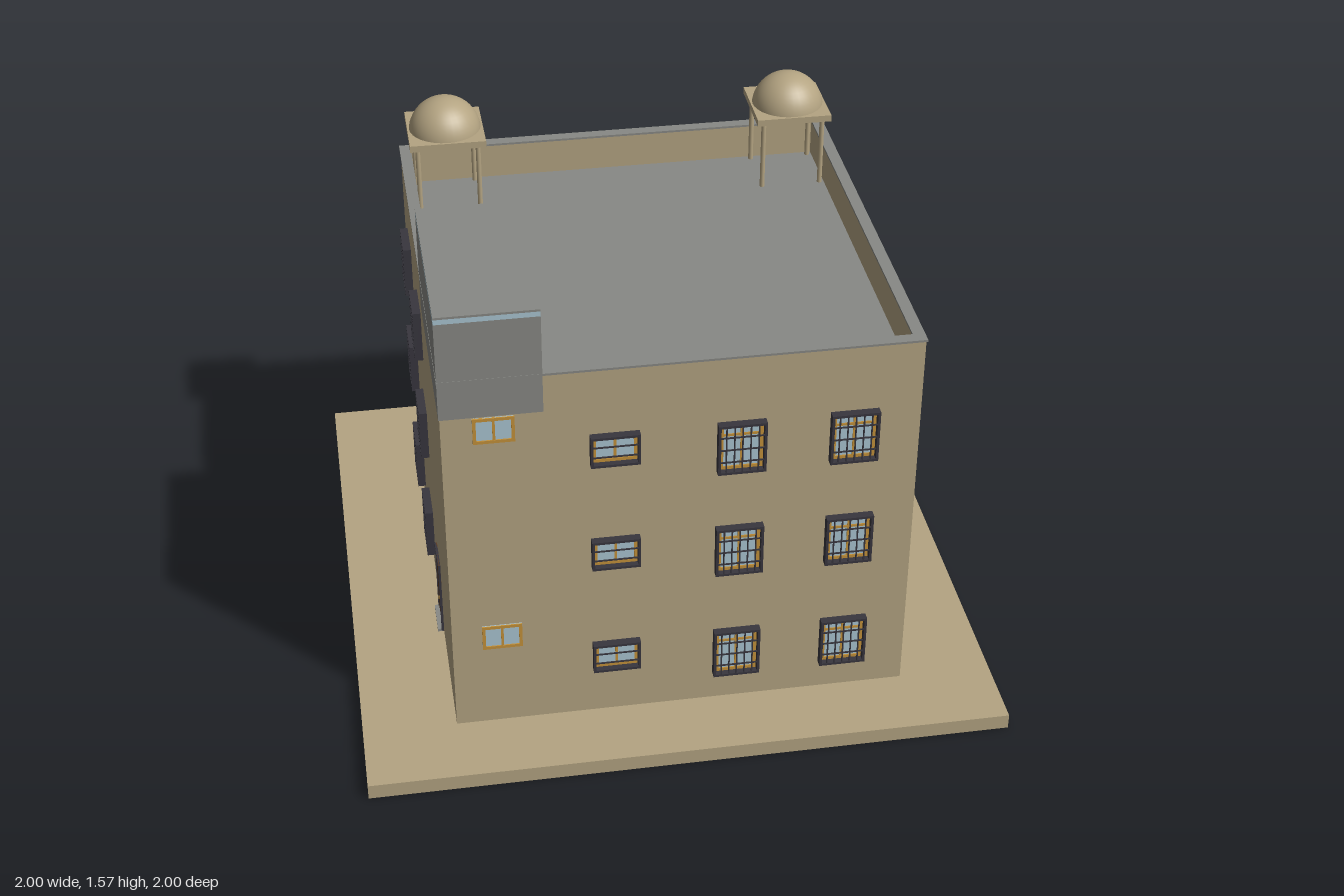
import * as THREE from 'three';

const mat = (name, color) => Object.assign(new THREE.MeshStandardMaterial({ color }), { name });
const M = {
  wall: mat('sandstone', 0xb4a482),
  grey: mat('concrete grey', 0x888985),
  iron: mat('dark iron', 0x38363e),
  frame: mat('ochre frame', 0xc4923a),
  glass: mat('pale glass', 0xaac6d2),
  door: mat('brown door', 0x5c3a24),
};

// Box given by its min and max corners
function box(parent, name, m, x0, x1, y0, y1, z0, z1) {
  const mesh = new THREE.Mesh(new THREE.BoxGeometry(x1 - x0, y1 - y0, z1 - z0), m);
  mesh.position.set((x0 + x1) / 2, (y0 + y1) / 2, (z0 + z1) / 2);
  mesh.name = name;
  parent.add(mesh);
  return mesh;
}

// Four boxes forming a rectangular border in the xy plane
function border(parent, name, m, w, h, t, z0, z1) {
  for (const s of [-1, 1]) {
    const x = s * (w - t) / 2, y = s * (h - t) / 2;
    box(parent, name, m, x - t / 2, x + t / 2, -h / 2, h / 2, z0, z1);
    box(parent, name, m, -w / 2 + t, w / 2 - t, y - t / 2, y + t / 2, z0, z1);
  }
}

// Window on a facade: glass, ochre frame and an optional iron cage
function addWindow(face, x, y, w, h, cage, upright) {
  const g = new THREE.Group();
  g.name = cage ? 'barredWindow' : 'plainWindow';
  g.position.set(x, y, 0);
  const m = cage ? 0.008 : 0;
  box(g, 'glass', M.glass, -w / 2 + m, w / 2 - m, -h / 2 + m, h / 2 - m, 0, 0.003);
  border(g, 'windowFrame', M.frame, w - 2 * m, h - 2 * m, 0.01, 0, 0.007);
  box(g, 'mullion', M.frame, -0.004, 0.004, -h / 2 + m, h / 2 - m, 0, 0.006);
  if (upright) box(g, 'transom', M.frame, -w / 2 + m, w / 2 - m, h * 0.22, h * 0.22 + 0.008, 0, 0.006);
  if (cage) {
    border(g, 'cageFrame', M.iron, w, h, 0.008, 0, 0.026);
    const columns = upright ? Math.round(w / 0.024) : 0;
    for (let i = 1; i < columns; i++) {
      const bx = -w / 2 + w * i / columns;
      box(g, 'cageBar', M.iron, bx - 0.002, bx + 0.002, -h / 2, h / 2, 0.021, 0.025);
    }
    const rows = upright ? 4 : 3;
    for (let i = 1; i < rows; i++) {
      const by = -h / 2 + h * i / rows;
      box(g, 'cageRail', M.iron, -w / 2, w / 2, by - 0.002, by + 0.002, 0.021, 0.025);
    }
  }
  face.add(g);
}

// Entrance door with frame, handle and step
function addDoor(face, x, w, leaves) {
  const g = new THREE.Group();
  g.name = 'entranceDoor';
  g.position.set(x, 0.185, 0);
  box(g, 'doorPanel', M.door, -w / 2, w / 2, -0.135, 0.135, 0, 0.005);
  border(g, 'doorFrame', M.iron, w, 0.27, 0.005, 0, 0.008);
  if (leaves === 2) box(g, 'doorGap', M.iron, -0.001, 0.001, -0.13, 0.13, 0, 0.006);
  const hx = leaves === 2 ? 0.012 : w / 2 - 0.02;
  box(g, 'doorHandle', M.frame, hx - 0.006, hx + 0.006, -0.012, -0.006, 0.005, 0.011);
  box(g, 'doorStep', M.grey, -w / 2, w / 2, -0.135, -0.125, 0, 0.02);
  face.add(g);
}

function addFacade(root, name, x, z, turn) {
  const face = new THREE.Group();
  face.name = name;
  face.position.set(x, 0, z);
  face.rotation.y = turn;
  root.add(face);
  return face;
}

// Domed water tank on a four-legged stand
function addTank(root, x, z) {
  const g = new THREE.Group();
  g.name = 'roofTank';
  g.position.set(x, 0, z);
  box(g, 'tankPlatform', M.wall, -0.122, 0.122, 1.445, 1.467, -0.122, 0.122);
  for (const sx of [-1, 1]) for (const sz of [-1, 1]) {
    const leg = new THREE.Mesh(new THREE.CylinderGeometry(0.008, 0.008, 0.245, 10), M.wall);
    leg.position.set(sx * 0.097, 1.3225, sz * 0.097);
    leg.name = 'tankLeg';
    g.add(leg);
  }
  const dome = new THREE.Mesh(new THREE.SphereGeometry(0.117, 32, 12, 0, Math.PI * 2, 0, Math.PI / 2), M.wall);
  dome.position.y = 1.452;
  dome.name = 'tankDome';
  g.add(dome);
  root.add(g);
}

export function createModel() {
  const root = new THREE.Group();
  root.name = 'building';
  const X = 0.708, ZB = -0.653, ZF = 0.765, T = 0.033;

  // Ground slab, main block and roof deck
  box(root, 'groundSlab', M.wall, -1, 1, 0, 0.05, -1, 1);
  box(root, 'mainBlock', M.wall, -X, X, 0.05, 1.2, ZB, ZF);
  box(root, 'roofDeck', M.grey, -X + T, X - T, 1.2, 1.21, ZB + T, ZF - T);

  // Parapet walls with a thin grey coping
  const ring = (name, m, y0, y1, o) => {
    for (const s of [-1, 1]) {
      const a = s * (X + o), b = s * (X - T);
      box(root, name, m, Math.min(a, b), Math.max(a, b), y0, y1, ZB - o, ZF + o);
    }
    box(root, name, m, -X + T, X - T, y0, y1, ZB - o, ZB + T);
    box(root, name, m, -X + T, X - T, y0, y1, ZF - T, ZF + o);
  };
  ring('parapet', M.wall, 1.2, 1.323, 0);
  ring('coping', M.grey, 1.323, 1.33, 0.004);

  // Stair house on the roof
  box(root, 'stairHouse', M.grey, -X - 0.003, -0.41, 1.2, 1.522, 0.152, ZF + 0.003);
  box(root, 'stairHouseBand', M.glass, -X - 0.003, -0.41, 1.522, 1.538, 0.152, ZF + 0.003);
  box(root, 'stairHouseTop', M.grey, -X - 0.003, -0.41, 1.538, 1.545, 0.152, ZF + 0.003);
  box(root, 'roofDoor', M.iron, -0.41, -0.405, 1.21, 1.465, 0.193, 0.316);

  addTank(root, 0.563, -0.508);
  addTank(root, -0.567, -0.508);

  // Facades: local x runs to the viewer's right, local z points outward
  const front = addFacade(root, 'frontFacade', 0, ZF, 0);
  const back = addFacade(root, 'backFacade', 0, ZB, Math.PI);
  const left = addFacade(root, 'leftFacade', X, 0, Math.PI / 2);
  const right = addFacade(root, 'rightFacade', -X, 0, -Math.PI / 2);

  [0.238, 0.638, 1.017].forEach((y, floor) => {
    for (const x of [0.17, 0.508]) addWindow(front, x, y, 0.145, 0.174, true, true);
    addWindow(front, -0.205, y + 0.034, 0.147, 0.105, true, false);
    for (const x of [-0.547, 0.036, 0.425]) addWindow(left, x, y, 0.145, 0.174, true, true);
    for (const x of [-0.43, -0.037]) addWindow(right, x, y, 0.145, 0.174, true, true);
    for (const x of [-0.508, -0.17, 0.17, 0.51]) {
      if (floor > 0 || x !== -0.17) addWindow(back, x, y, 0.178, 0.174, true, true);
    }
  });
  for (const y of [0.386, 1.152]) addWindow(front, -0.555, y, 0.122, 0.087, false, false);

  addDoor(back, -0.237, 0.2, 2);
  addDoor(right, 0.25, 0.125, 1);

  // Floor ledges across the back
  for (const y of [0.443, 0.825]) {
    box(back, 'ledge', M.grey, -X - 0.007, X + 0.007, y - 0.009, y + 0.009, -0.007, 0.01);
  }
  return root;
}
